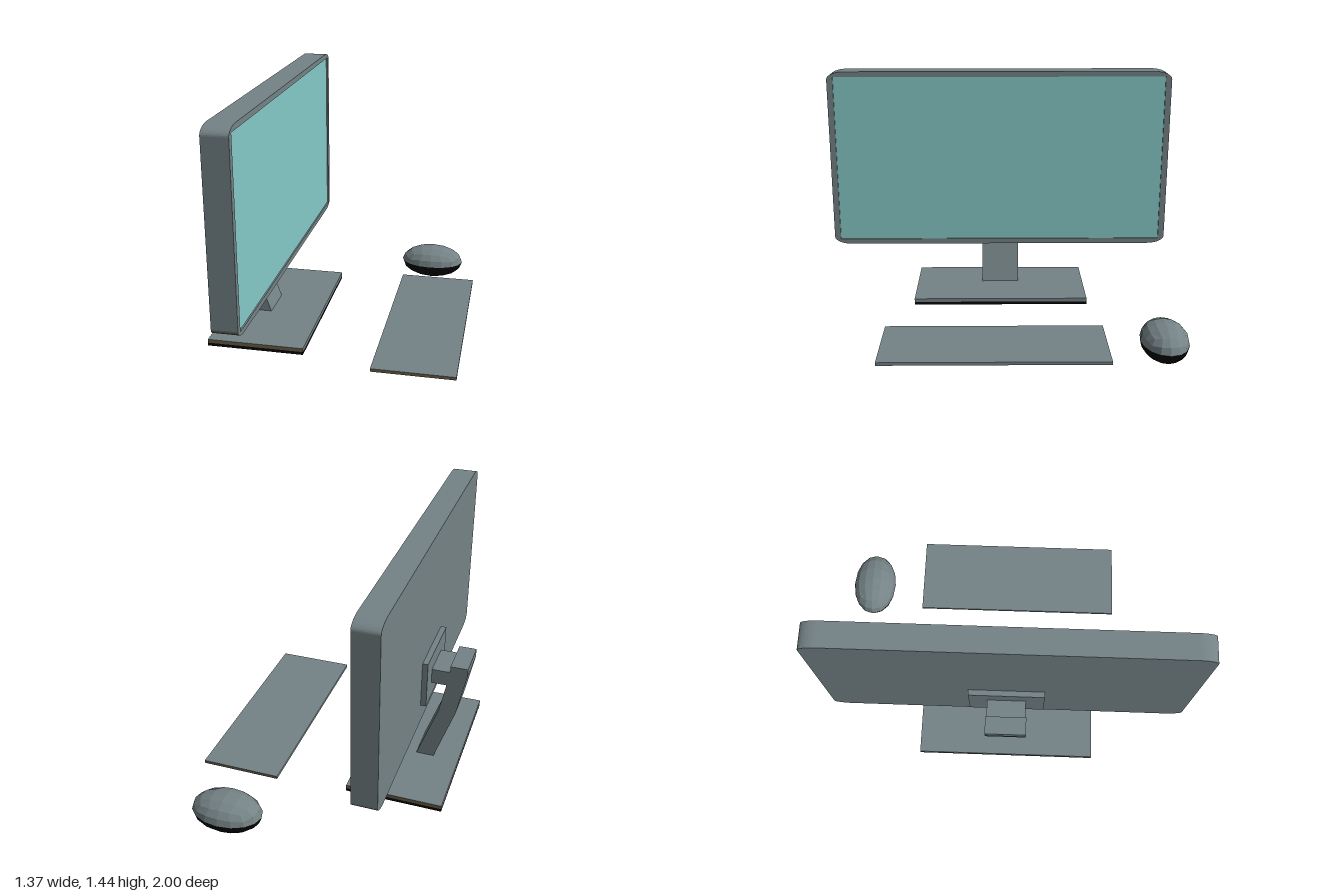
import * as THREE from 'three';

const mat = (name, color) => {
  const m = new THREE.MeshStandardMaterial({ color });
  m.name = name;
  return m;
};

export function createModel() {
  const model = new THREE.Group();
  model.name = 'desktopComputer';
  const grey = mat('grey casing', 0x758386);
  const teal = mat('teal screen', 0x84cac8);
  const black = mat('black underside', 0x050505);
  const brown = mat('brown edge', 0x6b6048);

  const add = (name, geo, material) => {
    const mesh = new THREE.Mesh(geo, material);
    mesh.name = name;
    model.add(mesh);
    return mesh;
  };
  // Box given by its limits on each axis
  const box = (name, [x0, x1], [y0, y1], [z0, z1], material) => {
    const mesh = add(name, new THREE.BoxGeometry(x1 - x0, y1 - y0, z1 - z0), material);
    mesh.position.set((x0 + x1) / 2, (y0 + y1) / 2, (z0 + z1) / 2);
    return mesh;
  };
  // Splits triangles into two material groups by their centre and flat normal
  const splitFaces = (geo, isSecond) => {
    const g = geo.index ? geo.toNonIndexed() : geo;
    g.computeVertexNormals();
    g.clearGroups();
    const tri = new THREE.Triangle(), p = g.attributes.position;
    const centre = new THREE.Vector3(), normal = new THREE.Vector3();
    for (let i = 0; i < p.count; i += 3) {
      tri.setFromAttributeAndIndices(p, i, i + 1, i + 2);
      tri.getMidpoint(centre);
      tri.getNormal(normal);
      g.addGroup(i, 3, isSecond(centre, normal) ? 1 : 0);
    }
    return g;
  };

  // Monitor: rounded outline drawn across z and y, extruded along x
  const outline = (holed) => {
    const s = new THREE.Shape();
    const w = 0.99, b = 0.405, t = 1.44, rx = 0.1, ry = 0.045;
    const corner = (x, y, a) => s.absellipse(x, y, rx, ry, a, a + Math.PI / 2, false, 0);
    corner(w - rx, t - ry, 0);
    corner(-w + rx, t - ry, Math.PI / 2);
    corner(-w + rx, b + ry, Math.PI);
    corner(w - rx, b + ry, Math.PI * 1.5);
    s.closePath();
    if (holed) {
      const h = new THREE.Path();
      h.moveTo(-0.955, 0.435).lineTo(-0.955, 1.41).lineTo(0.955, 1.41).lineTo(0.955, 0.435).closePath();
      s.holes.push(h);
    }
    return s;
  };
  const slab = (name, holed, x, depth) => {
    const geo = new THREE.ExtrudeGeometry(outline(holed), { depth, bevelEnabled: false, curveSegments: 5 });
    geo.rotateY(Math.PI / 2).translate(x, 0, 0.01);
    const lowCorner = (c, n) => n.y < -0.2 && Math.abs(n.z) > 0.15;
    add(name, splitFaces(geo, lowCorner), [grey, brown]);
  };
  slab('monitorCasing', false, -0.46, 0.123);
  slab('monitorBezel', true, -0.337, 0.012);
  box('screen', [-0.338, -0.333], [0.435, 1.41], [-0.945, 0.965], teal);

  // Mount and bent neck
  box('mountPlate', [-0.49, -0.46], [0.52, 0.785], [-0.2, 0.21], grey);
  box('mountArm', [-0.6, -0.49], [0.61, 0.695], [-0.1, 0.11], grey);
  const neck = new THREE.Shape([
    [-0.525, 0.115], [-0.425, 0.115], [-0.54, 0.44], [-0.59, 0.69],
    [-0.59, 0.735], [-0.685, 0.735], [-0.685, 0.69], [-0.635, 0.44],
  ].map(([x, y]) => new THREE.Vector2(x, y)));
  const neckGeo = new THREE.ExtrudeGeometry(neck, { depth: 0.22, bevelEnabled: false });
  add('neck', neckGeo.translate(0, 0, -0.105), grey);

  // Base and keyboard, with brown ends and black undersides
  const ends = [grey, grey, grey, black, brown, brown];
  box('baseTop', [-0.67, -0.14], [0.102, 0.122], [-0.505, 0.515], ends);
  box('baseUnderside', [-0.67, -0.14], [0.085, 0.102], [-0.505, 0.515], black);
  box('keyboard', [0.245, 0.685], [0.103, 0.12], [-0.555, 0.645], ends);

  // Mouse: a cube rounded into an ellipsoid, black below the middle
  const ball = new THREE.BoxGeometry(2, 2, 2, 4, 4, 4);
  const p = ball.attributes.position, v = new THREE.Vector3();
  const even = (a) => Math.tan(a * Math.PI / 4);
  for (let i = 0; i < p.count; i++) {
    v.fromBufferAttribute(p, i);
    v.set(even(v.x), even(v.y), even(v.z)).normalize();
    p.setXYZ(i, v.x * 0.196, v.y * 0.102, v.z * 0.131);
  }
  const mouse = add('mouse', splitFaces(ball, (c) => c.y < 0), [grey, black]);
  mouse.position.set(0.397, 0.102, -0.869);

  return model;
}
